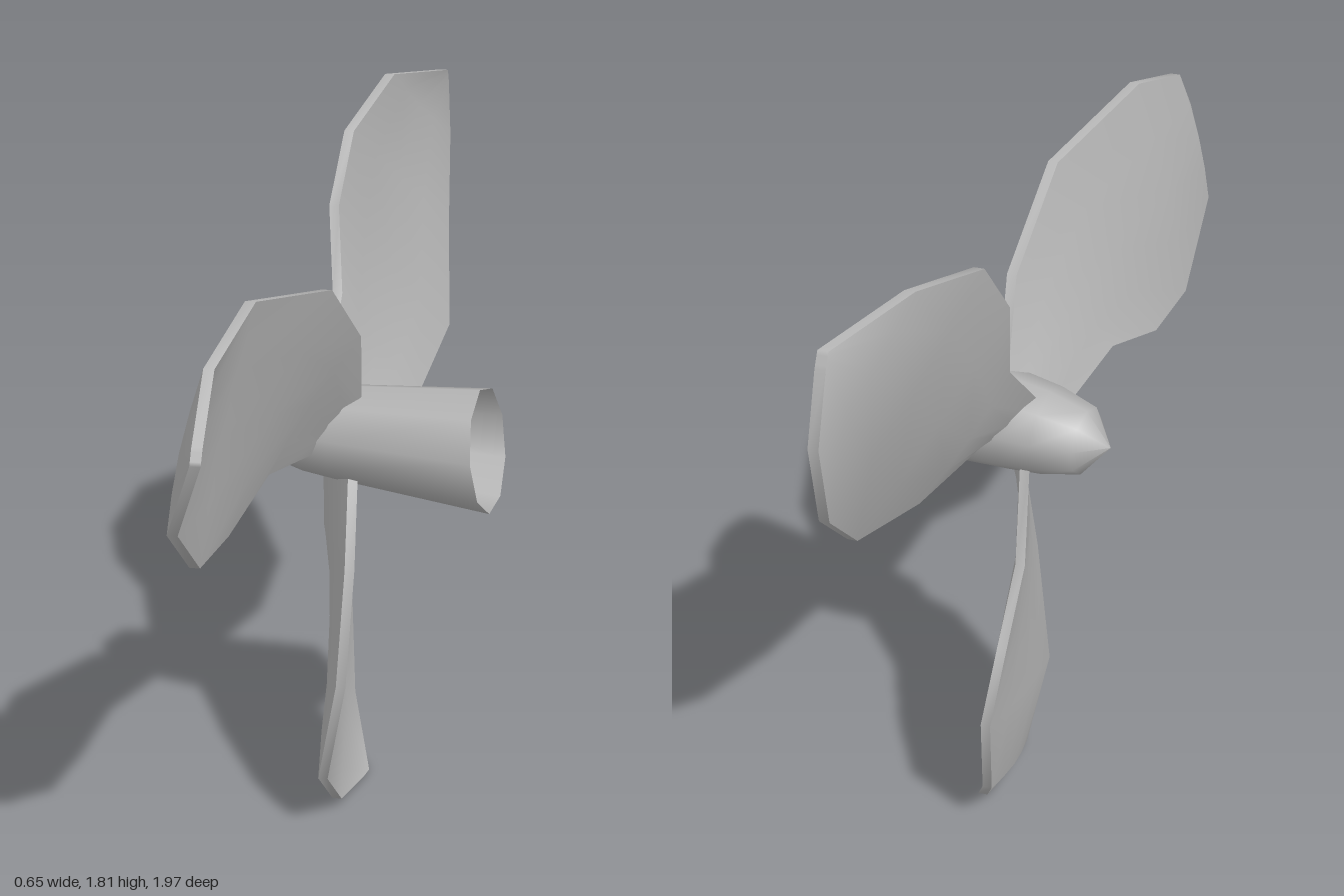
import * as THREE from 'three';

const metal = new THREE.MeshStandardMaterial({ color: 0xb4b4b4, side: THREE.DoubleSide });
metal.name = 'grey metal';

// Hollow nine-sided hub: pointed nose, flaring to an open, slanted rear rim
function makeHub() {
  const profile = [[0, -0.33], [0.085, -0.265], [0.112, -0.165], [0.122, -0.08], [0.157, 0.303]]
    .map(([r, x]) => new THREE.Vector2(r, x));
  const geo = new THREE.LatheGeometry(profile, 9, -Math.PI / 2);
  geo.rotateZ(-Math.PI / 2);
  const p = geo.attributes.position;
  for (let i = 0; i < p.count; i++) {
    if (p.getX(i) > 0.2) p.setX(i, p.getX(i) - 0.145 * p.getY(i));
  }
  const hub = new THREE.Mesh(geo, metal);
  hub.name = 'hub';
  return hub;
}

// Blade stations from root to tip: leading and trailing edge as [x, radius, sideways]
const stations = [
  [[-0.025, 0.08, 0.07], [-0.13, 0.08, -0.07]],
  [[0.008, 0.285, 0.21], [-0.15, 0.33, -0.135]],
  [[0.008, 0.575, 0.285], [-0.175, 0.485, -0.29]],
  [[-0.06, 0.89, 0.215], [-0.172, 0.665, -0.37]],
  [[-0.075, 1.052, 0.05], [-0.145, 0.925, -0.305]],
  [[-0.066, 1.083, -0.12], [-0.064, 1.085, -0.16]],
];
const ACROSS = 4;

// Thin, twisted, slightly cupped blade hanging down from the hub axis
function bladeGeometry() {
  const point = (i, j, side) => {
    const [lead, trail] = stations[i];
    const t = j / ACROSS;
    const [x, r, w] = lead.map((v, k) => v + (trail[k] - v) * t);
    const cup = i === 5 ? 0 : 0.012 * Math.sin(Math.PI * t);
    return [x - cup + side * 0.012, -r, w];
  };
  const pos = [], index = [];
  const quad = (a, b, c, d) => index.push(a, b, c, a, c, d);
  const last = stations.length - 1;

  // Two broad faces
  for (const side of [1, -1]) {
    const base = pos.length / 3;
    for (let i = 0; i <= last; i++) {
      for (let j = 0; j <= ACROSS; j++) pos.push(...point(i, j, side));
    }
    for (let i = 0; i < last; i++) {
      for (let j = 0; j < ACROSS; j++) {
        const a = base + i * (ACROSS + 1) + j, b = a + 1, d = a + ACROSS + 1, c = d + 1;
        if (side > 0) quad(a, d, c, b);
        else quad(a, b, c, d);
      }
    }
  }

  // Narrow rim running around the outline
  const loop = [];
  for (let i = 0; i < last; i++) loop.push([i, 0]);
  for (let j = 0; j < ACROSS; j++) loop.push([last, j]);
  for (let i = last; i > 0; i--) loop.push([i, ACROSS]);
  for (let j = ACROSS; j > 0; j--) loop.push([0, j]);
  const rim = pos.length / 3;
  loop.forEach(([i, j], k) => {
    pos.push(...point(i, j, 1), ...point(i, j, -1));
    const p = rim + 2 * k, q = rim + 2 * ((k + 1) % loop.length);
    quad(p, p + 1, q + 1, q);
  });

  const geo = new THREE.BufferGeometry();
  geo.setAttribute('position', new THREE.Float32BufferAttribute(pos, 3));
  geo.setIndex(index);
  return geo;
}

export function createModel() {
  const model = new THREE.Group();
  model.name = 'propeller';
  const rotor = new THREE.Group();
  rotor.name = 'rotor';
  rotor.position.set(0, 1.092, -0.042);
  rotor.add(makeHub());

  // Three blades around the hub, with a slight lean of the whole set
  const lean = new THREE.Matrix4().set(
    1, 0, 0, 0,
    0, 1, 0, 0,
    -0.17, 0, 1, -0.0136,
    0, 0, 0, 1);
  [['lowerBlade', 0], ['frontBlade', 118], ['backBlade', 240]].forEach(([name, angle]) => {
    const geo = bladeGeometry();
    geo.rotateX(-THREE.MathUtils.degToRad(angle));
    geo.applyMatrix4(lean);
    geo.computeVertexNormals();
    const blade = new THREE.Mesh(geo, metal);
    blade.name = name;
    rotor.add(blade);
  });

  model.add(rotor);
  return model;
}
